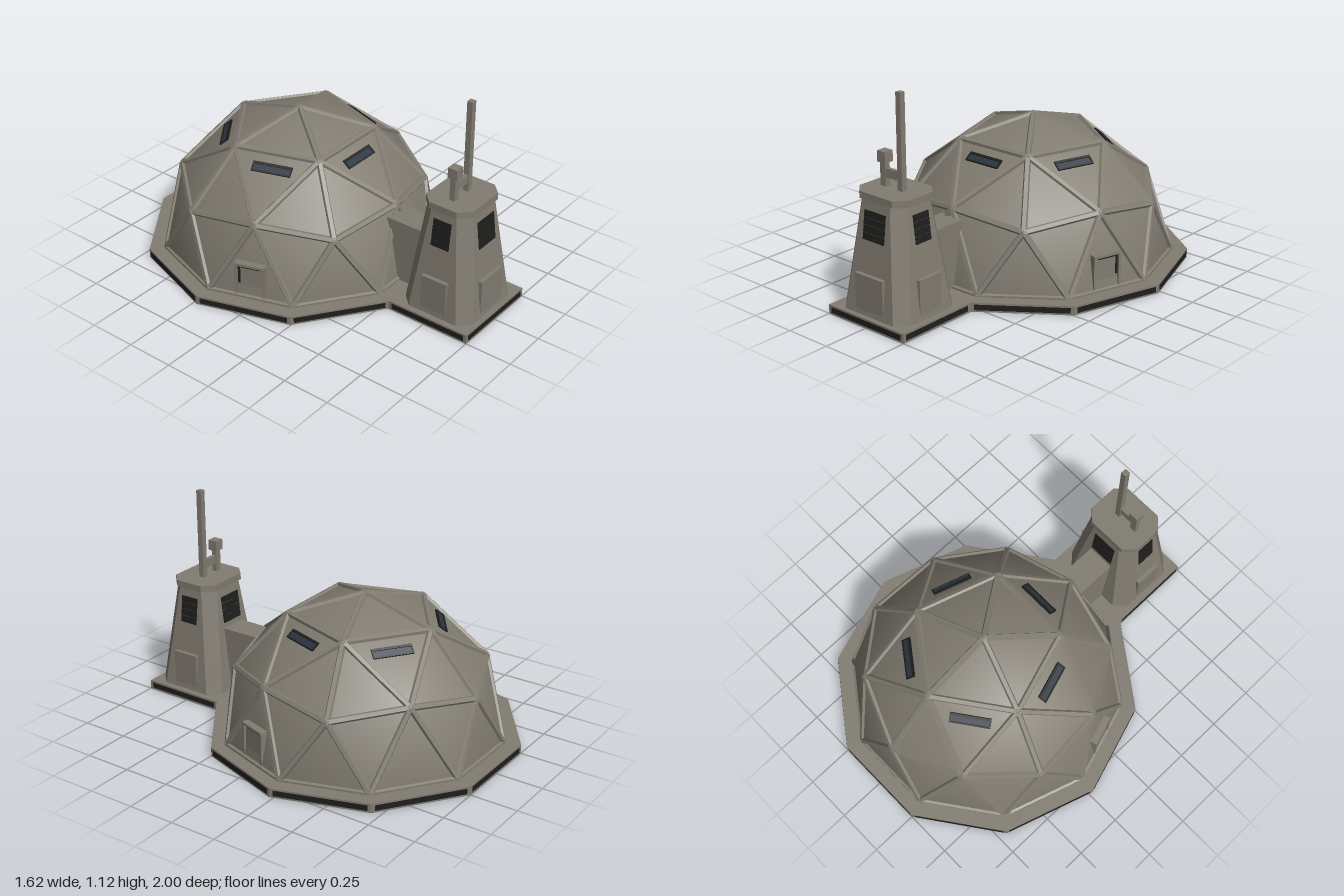
import * as THREE from 'three';

const mat = (name, color) => {
  const m = new THREE.MeshStandardMaterial({ color });
  m.name = name;
  return m;
};

export function createModel() {
  const grey = mat('warm grey', 0x817c71);
  const black = mat('dark vent', 0x1e1e1d);
  const glass = mat('blue glass', 0x2b3641);
  const model = new THREE.Group();
  model.name = 'domeHabitat';

  const add = (parent, name, geo, m, x = 0, y = 0, z = 0) => {
    const mesh = new THREE.Mesh(geo, m);
    mesh.name = name;
    mesh.position.set(x, y, z);
    parent.add(mesh);
    return mesh;
  };
  const box = (parent, name, w, h, d, m, x, y, z) =>
    add(parent, name, new THREE.BoxGeometry(w, h, d), m, x, y, z);
  const group = (parent, name, x = 0, y = 0, z = 0, ry = 0) => {
    const g = new THREE.Group();
    g.name = name;
    g.position.set(x, y, z);
    g.rotation.y = ry;
    parent.add(g);
    return g;
  };
  // Flat outline in x and z, raised along y, optionally with a hole
  const flat = pts => pts.map(([x, z]) => new THREE.Vector2(x, -z));
  const slab = (pts, h, hole) => {
    const shape = new THREE.Shape(flat(pts));
    if (hole) shape.holes.push(new THREE.Path(flat(hole)));
    return new THREE.ExtrudeGeometry(shape, { depth: h, bevelEnabled: false }).rotateX(-Math.PI / 2);
  };
  const deg = Math.PI / 180;
  const FLOOR = 0.048, PLATE = 0.008, RIM = 0.012, R = 0.734;

  // Foundation: thin ten-sided plate with an apron in front, on a hollow rim
  const baseOutline = inset => {
    const pts = [];
    for (let k = 0; k < 10; k++) {
      const a = (18 + 36 * k) * deg;
      pts.push([(0.812 - inset) * Math.sin(a), -0.229 + (0.81 - inset) * Math.cos(a)]);
    }
    pts.push([inset - 0.25, 1 - inset], [0.25 - inset, 1 - inset]);
    return pts;
  };
  const outline = baseOutline(0);
  add(model, 'foundationPlate', slab(outline, PLATE), grey, 0, FLOOR - PLATE);
  add(model, 'foundationRim', slab(outline, FLOOR - PLATE, baseOutline(RIM)), grey);
  outline.forEach(([x0, z0], i) => {
    const [x1, z1] = outline[(i + 1) % outline.length];
    const side = group(model, 'foundationSide', (x0 + x1) / 2, FLOOR / 2, (z0 + z1) / 2,
      Math.atan2(-(z1 - z0), x1 - x0));
    const length = Math.hypot(x1 - x0, z1 - z0) - 0.035;
    box(side, 'foundationStrip', length, 0.029, RIM + 0.003, black, 0, 0, -RIM / 2);
  });

  // Geodesic dome nodes
  const dome = group(model, 'dome', 0, FLOOR, -0.224);
  const node = (az, polar) => new THREE.Vector3().setFromSphericalCoords(R, polar * deg, az * deg);
  const nodes = [node(0, 0)];
  const tris = [];
  for (let k = 0; k < 5; k++) {
    nodes.push(node(36 + 72 * k, 31.72), node(72 * k, 58.28), node(36 + 72 * k, 63.43),
      node(18 + 72 * k, 90), node(54 + 72 * k, 90));
  }
  for (let k = 0; k < 5; k++) {
    const n = (k + 1) % 5, p = (k + 4) % 5;
    const [up, mid, low, e0, e1] = [1, 2, 3, 4, 5].map(i => 5 * k + i);
    const upPrev = 5 * p + 1, e1Prev = 5 * p + 5, midNext = 5 * n + 2;
    tris.push([0, upPrev, up], [upPrev, mid, up], [up, mid, low], [up, low, midNext],
      [low, e0, e1], [mid, e1Prev, e0], [mid, e0, low], [low, e1, midNext]);
  }

  // Panels, gently rounded shading
  const pos = [], nor = [], edges = new Map();
  for (const t of tris) {
    const [a, b, c] = t.map(i => nodes[i]);
    const face = b.clone().sub(a).cross(c.clone().sub(a)).normalize();
    const flip = face.dot(a) < 0;
    if (flip) face.negate();
    for (const v of flip ? [a, c, b] : [a, b, c]) {
      pos.push(v.x * 0.99, v.y * 0.99, v.z * 0.99);
      nor.push(...v.clone().normalize().add(face).normalize().toArray());
    }
    t.forEach((i, j) => {
      const e = [i, t[(j + 1) % 3]].sort((x, y) => x - y);
      edges.set(e.join('-'), e);
    });
  }
  const panels = new THREE.BufferGeometry();
  panels.setAttribute('position', new THREE.Float32BufferAttribute(pos, 3));
  panels.setAttribute('normal', new THREE.Float32BufferAttribute(nor, 3));
  add(dome, 'domePanels', panels, grey);

  // Bevelled struts along every panel edge
  const profile = new THREE.Shape([[-0.017, -0.012], [0.017, -0.012], [0.01, 0.003], [-0.01, 0.003]]
    .map(([x, y]) => new THREE.Vector2(x, y)));
  for (const [i, j] of edges.values()) {
    const a = nodes[i], b = nodes[j];
    const dir = b.clone().sub(a);
    const depth = dir.length();
    dir.normalize();
    const out = a.clone().add(b).normalize();
    const strut = add(dome, 'domeStrut', new THREE.ExtrudeGeometry(profile, { depth, bevelEnabled: false }), grey);
    strut.quaternion.setFromRotationMatrix(
      new THREE.Matrix4().makeBasis(out.clone().cross(dir), out, dir));
    strut.position.copy(a);
  }

  // Skylights, nearly flush with their panels
  for (let k = 0; k < 5; k++) {
    const spin = group(dome, 'skylight', 0, 0, 0, 72 * k * deg);
    const frame = group(spin, 'skylightFrame', 0, 0.565, 0.379);
    frame.rotation.x = -0.919;
    box(frame, 'skylightGlass', 0.196, 0.04, 0.007, glass, 0, 0, 0);
    box(frame, 'skylightTopRail', 0.208, 0.013, 0.016, black, 0, 0.02, 0);
    box(frame, 'skylightBottomRail', 0.208, 0.007, 0.016, black, 0, -0.023, 0);
    for (const s of [-1, 1]) box(frame, 'skylightEnd', 0.006, 0.05, 0.016, black, s * 0.101, 0, 0);
  }

  // Side doors
  for (const s of [-1, 1]) {
    const door = group(dome, 'sideDoor', 0, 0, 0, s * 72 * deg);
    for (const t of [-1, 1]) box(door, 'doorJamb', 0.014, 0.185, 0.05, grey, t * 0.073, 0.0925, 0.667);
    box(door, 'doorLintel', 0.16, 0.014, 0.05, grey, 0, 0.183, 0.667);
    box(door, 'doorLeaf', 0.134, 0.18, 0.03, grey, 0, 0.09, 0.665);
    box(door, 'doorSlit', 0.012, 0.1, 0.006, black, s * 0.059, 0.122, 0.68);
    box(door, 'doorHeadShadow', 0.1, 0.01, 0.006, black, 0, 0.17, 0.68);
  }

  // Passage between dome and tower
  box(model, 'passage', 0.145, 0.34, 0.25, grey, 0, FLOOR + 0.17, 0.515);

  // Tapered tower with chamfered corners
  const tower = group(model, 'tower', 0, FLOOR, 0.776);
  const octagon = (w, d, c) => [[w, d - c], [w, c - d], [w - c, -d], [c - w, -d],
    [-w, c - d], [-w, d - c], [c - w, d], [w - c, d]].reverse();
  const body = slab(octagon(0.218, 0.199, 0.06), 0.557);
  const p = body.attributes.position;
  for (let i = 0; i < p.count; i++) {
    const inset = 0.068 * p.getY(i) / 0.557;
    p.setX(i, p.getX(i) - Math.sign(p.getX(i)) * inset);
    p.setZ(i, p.getZ(i) - Math.sign(p.getZ(i)) * inset);
  }
  body.computeVertexNormals();
  add(tower, 'towerBody', body, grey);
  add(tower, 'towerCap', slab(octagon(0.162, 0.134, 0.055), 0.035), grey, 0, 0.557, 0);

  // Vents and hatches on the tower sides
  for (let k = 0; k < 4; k++) {
    const half = k % 2 ? 0.218 : 0.199;
    const side = group(tower, 'towerSide', 0, 0, 0, k * Math.PI / 2);
    const face = group(side, 'towerFace', 0, 0, half);
    face.rotation.x = -0.1215;
    const w = k % 2 ? 0.102 : 0.138;
    for (let i = 0; i < 4; i++) box(face, 'ventSlat', w, 0.034, 0.008, black, 0, 0.388 + i * 0.0365, 0);
    if (k !== 2) box(side, 'hatch', w + 0.043, 0.19, 0.04, grey, 0, 0.11, half - 0.023);
  }

  // Mast and sensor on the roof
  const roof = group(tower, 'roofEquipment', 0, 0.592, 0);
  box(roof, 'mast', 0.03, 0.48, 0.03, grey, 0.042, 0.24, 0);
  box(roof, 'sensorPost', 0.034, 0.125, 0.03, grey, -0.069, 0.0625, 0);
  box(roof, 'sensorHead', 0.052, 0.055, 0.052, grey, -0.067, 0.147, 0);
  box(roof, 'sensorArm', 0.085, 0.045, 0.02, grey, -0.012, 0.068, 0);
  return model;
}
